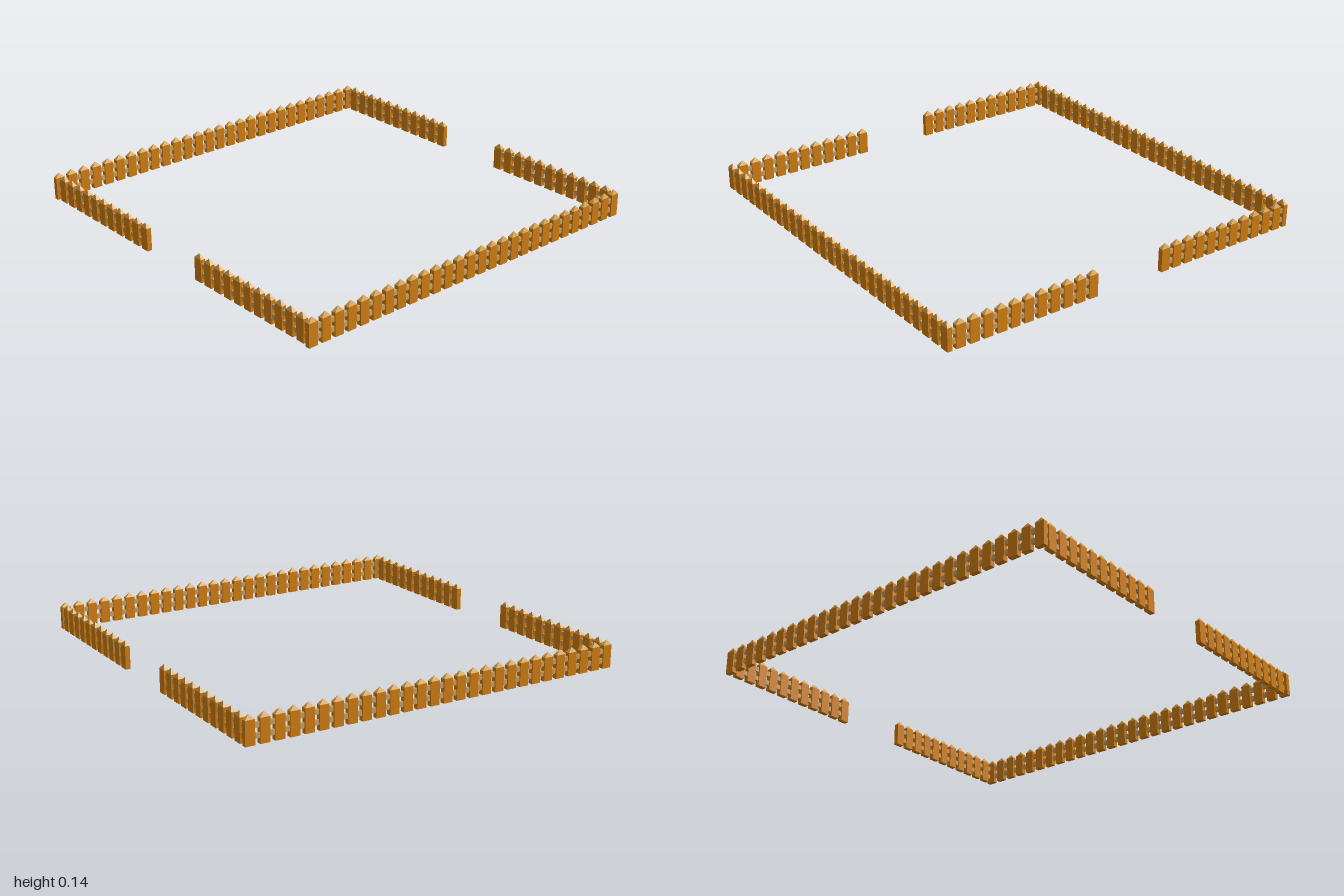
import * as THREE from 'three';

const wood = new THREE.MeshStandardMaterial({ color: 0xd07d12, flatShading: true });
const capWood = new THREE.MeshStandardMaterial({ color: 0xd2a04e, flatShading: true });
const railWood = new THREE.MeshStandardMaterial({ color: 0xc8a068, flatShading: true });

const WIDTH = 0.048, DEPTH = 0.025, BODY = 0.116, CAP = 0.024;
const bodyGeo = new THREE.BoxGeometry(WIDTH, BODY, DEPTH).translate(0, BODY / 2, 0);

// four-sided pyramid fitted to the top of a picket
const capGeo = new THREE.ConeGeometry(Math.SQRT1_2, CAP, 4, 1, true)
  .rotateY(Math.PI / 4)
  .scale(WIDTH, 1, DEPTH)
  .translate(0, BODY + CAP / 2, 0);

function makePicket(x) {
  const picket = new THREE.Group();
  picket.name = 'picket';
  const body = new THREE.Mesh(bodyGeo, wood);
  body.name = 'picketBody';
  const cap = new THREE.Mesh(capGeo, capWood);
  cap.name = 'picketCap';
  picket.add(body, cap);
  picket.position.x = x;
  return picket;
}

// a straight run along x: evenly spaced pickets on two rails
function makeRun(name, first, last, count, railStart, railEnd) {
  const run = new THREE.Group();
  run.name = name;
  for (let i = 0; i < count; i++) {
    run.add(makePicket(first + (last - first) * i / (count - 1)));
  }
  for (const y of [0.038, 0.086]) {
    const rail = new THREE.Mesh(new THREE.BoxGeometry(railEnd - railStart, 0.024, 0.014), railWood);
    rail.name = 'rail';
    rail.position.set((railStart + railEnd) / 2, y, 0);
    run.add(rail);
  }
  return run;
}

export function createModel() {
  const fence = new THREE.Group();
  fence.name = 'picketFence';

  for (const side of [-1, 1]) {
    const label = side > 0 ? 'left' : 'right';

    // long side runs
    const long = makeRun(label + 'Side', -0.976, 0.976, 28, -0.99, 0.99);
    long.rotation.y = Math.PI / 2;
    long.position.x = side * 0.9875;
    fence.add(long);

    // short front and back runs, leaving an opening in the middle
    for (const [end, z] of [['Front', 0.979], ['Back', -0.9875]]) {
      const a = side * 0.213, b = side * 0.93;
      const lo = side * 0.2, hi = side * 0.985;
      const short = makeRun(label + end, a, b, 11, Math.min(lo, hi), Math.max(lo, hi));
      short.position.z = z;
      fence.add(short);
    }
  }
  return fence;
}
